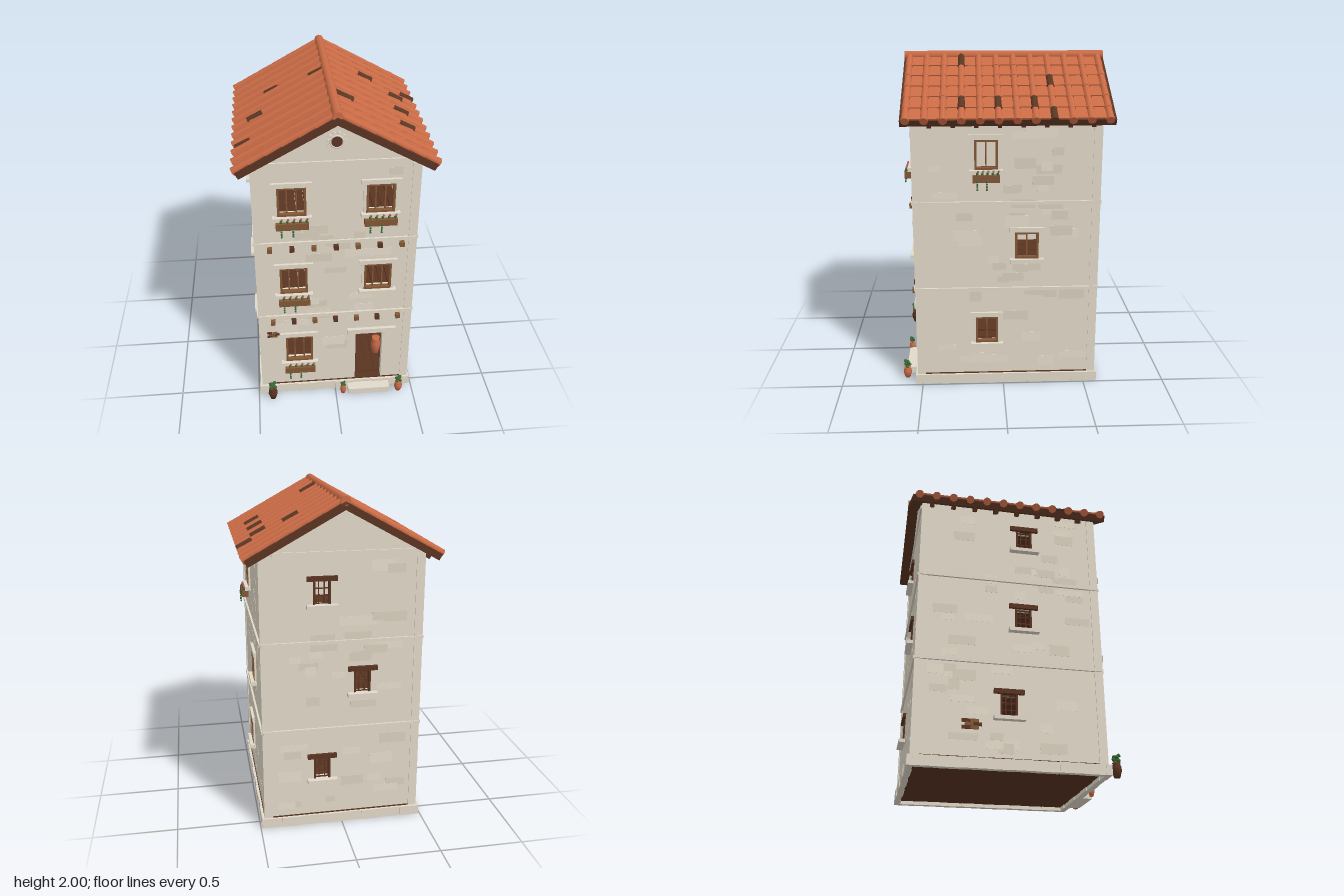
import * as THREE from 'three';

const mat = (name, color) => Object.assign(new THREE.MeshStandardMaterial({ color }), { name });
const M = {
  wall: mat('plaster', 0xe3dac9), patch: mat('greyStone', 0xdad0be), trim: mat('trimStone', 0xe1d9c9),
  light: mat('paleStone', 0xe8dfce), timber: mat('timber', 0x835836), dark: mat('darkWood', 0x5a3422),
  tile: mat('terracotta', 0xca6b46), burnt: mat('darkTile', 0x5a3724), leaf: mat('leaf', 0x3b6a35),
  bloom: mat('bloom', 0xb0586a),
};
const HX = 0.471, ZF = 0.526, ZB = -0.566, T = 0.045;

function add(parent, name, geo, m, x = 0, y = 0, z = 0) {
  const mesh = new THREE.Mesh(geo, m);
  mesh.name = name;
  mesh.position.set(x, y, z);
  parent.add(mesh);
  return mesh;
}
const box = (p, name, m, w, h, d, x, y, z) => add(p, name, new THREE.BoxGeometry(w, h, d), m, x, y, z);
function group(parent, name, x = 0, y = 0, z = 0) {
  const g = new THREE.Group();
  g.name = name;
  g.position.set(x, y, z);
  parent.add(g);
  return g;
}
let seed = 7;
const rnd = () => (seed = (seed * 16807) % 2147483647) / 2147483647;
const blob = new THREE.IcosahedronGeometry(1, 0);

// Planter with leaves, blooms and two trailing vines
function flowerBox(p, x, top, w) {
  const g = group(p, 'flowerBox', x, top, 0.034);
  box(g, 'planter', M.timber, w, 0.042, 0.042, 0, -0.021, 0);
  for (let i = 0; i < 10; i++) {
    const px = (i / 9 - 0.5) * (w - 0.024), dz = (i % 2 - 0.5) * 0.016;
    add(g, 'leaves', blob, M.leaf, px, 0.008, dz).scale.set(0.009, 0.011, 0.009);
    if (i % 2) add(g, 'bloom', blob, M.bloom, px + 0.005, 0.022, dz).scale.setScalar(0.007);
  }
  for (const vx of [-0.33, 0.02])
    for (let i = 0; i < 4; i++)
      add(g, 'vine', blob, M.leaf, vx * w, -0.034 - i * 0.016, 0.022).scale.set(0.007, 0.008, 0.005);
}

// Stone-trimmed window; opening [x, y, w, h]
function largeWindow(p, [x, y, w, h, planter], bars) {
  const g = group(p, 'window', x, y);
  box(g, 'lintel', M.trim, w + 0.065, 0.028, 0.03, 0, h / 2 + 0.014, 0.002);
  box(g, 'sill', M.trim, w + 0.06, 0.024, 0.05, 0, -h / 2 - 0.012, 0.01);
  for (const s of [-1, 1]) {
    box(g, 'jamb', M.trim, 0.016, h, 0.02, s * (w / 2 + 0.008), 0, 0.001);
    box(g, 'frameSide', M.timber, 0.013, h, 0.03, s * (w / 2 - 0.0065), 0, -0.002);
    box(g, 'frameRail', M.timber, w, 0.012, 0.03, 0, s * (h / 2 - 0.006), -0.002);
  }
  for (let i = 1; i <= bars; i++)
    box(g, 'mullion', M.timber, 0.008, h, 0.016, (i / (bars + 1) - 0.5) * w, 0, -0.012);
  if (planter) flowerBox(p, x, y - h / 2 - 0.026, w + 0.022);
}

// Small barred window with a timber lintel
function smallWindow(p, [x, y, w, h]) {
  const g = group(p, 'smallWindow', x, y);
  box(g, 'lintel', M.dark, w + 0.075, 0.028, 0.035, 0, h / 2 + 0.014, 0);
  box(g, 'sill', M.trim, w + 0.08, 0.022, 0.06, 0, -h / 2 - 0.011, 0.006);
  for (const s of [-1, 1]) {
    box(g, 'frameSide', M.dark, 0.012, h, 0.03, s * (w / 2 - 0.006), 0, -0.01);
    box(g, 'barUpright', M.dark, 0.006, h, 0.008, s * w / 6, 0, -0.015);
  }
  for (let i = 0; i < 4; i++) box(g, 'barCross', M.dark, w, 0.006, 0.008, 0, (i / 3 - 0.5) * (h - 0.006), -0.015);
}

// Patch of exposed bricks
function bricks(p, x, y, size) {
  const g = group(p, 'exposedBricks', x, y);
  g.scale.set(size, size, 1);
  for (let r = 0; r < 3; r++)
    for (let c = 0; c < 2; c++)
      box(g, 'brick', (r + c) % 2 ? M.timber : M.dark, 0.031, 0.0125, 0.012, (c - 0.5) * 0.032 + (r % 2) * 0.012 - 0.006, (r - 1) * 0.013, 0.003);
}

// One outside wall: local z = 0 is the outer face; width runs from x0 to x1
function facade(root, name, pos, turn, outline, x0, x1, openings) {
  const g = group(root, name, ...pos);
  g.rotation.y = turn;
  const shape = new THREE.Shape(outline.map(([x, y]) => new THREE.Vector2(x, y)));
  for (const [x, y, w, h] of openings) {
    const a = x - w / 2, b = x + w / 2, c = y - h / 2, d = y + h / 2;
    shape.holes.push(new THREE.Path([[a, c], [a, d], [b, d], [b, c]].map(q => new THREE.Vector2(...q))));
  }
  add(g, 'wallPanel', new THREE.ExtrudeGeometry(shape, { depth: T, bevelEnabled: false }), M.wall, 0, 0, -T);
  for (const y of [0.625, 1.165]) box(g, 'stringCourse', M.trim, x1 - x0, 0.02, 0.024, (x0 + x1) / 2, y, 0);
  // Thin stones showing in the plaster
  for (let i = 0; i < 50; i++) {
    const w = 0.06 + rnd() * 0.11, h = 0.035 + rnd() * 0.035;
    const x = x0 + 0.13 + rnd() * (x1 - x0 - 0.26), y = 0.12 + rnd() * 1.5;
    const clear = openings.every(o => Math.abs(o[0] - x) > (o[2] + w) / 2 + 0.03 || Math.abs(o[1] - y) > (o[3] + h) / 2 + 0.03);
    if (clear) box(g, 'wallStone', i % 2 ? M.patch : M.light, w, h, 0.001, x, y, i * 0.00002);
  }
  return g;
}

// Potted plant from a turned profile
function pot(p, m, x, z, r, h, plant) {
  const g = group(p, 'pottedPlant', x, 0.008, z);
  const pts = [[0, 0], [0.6, 0], [1, 0.45], [0.95, 0.7], [0.7, 0.9], [0.85, 1], [0, 0.96]];
  add(g, 'pot', new THREE.LatheGeometry(pts.map(([a, b]) => new THREE.Vector2(a * r, b * h)), 12), m);
  if (plant) for (let i = 0; i < 7; i++)
    add(g, 'foliage', blob, M.leaf, Math.cos(i * 2.4) * r * 0.5, h + plant * (0.12 + i * 0.11), Math.sin(i * 2.4) * r * 0.5).scale.setScalar(r * 0.45);
}

// One roof slope, x running downhill from the ridge
function roofSide(root, s, darkRibs, darkPans) {
  const g = group(root, s > 0 ? 'roofLeft' : 'roofRight', 0, 1.97, 0);
  g.rotation.set(0, s > 0 ? 0 : Math.PI, -Math.atan(0.55));
  const L = 0.632, pitch = 0.1025;
  box(g, 'deck', M.dark, L, 0.04, 1.214, L / 2, -0.02, -0.025 * s);
  const rib = new THREE.CylinderGeometry(0.0185, 0.0245, 0.114, 10).rotateZ(Math.PI / 2 - 0.04);
  const pan = new THREE.BoxGeometry(0.112, 0.008, 0.088).rotateZ(0.06);
  for (let k = 0; k < 6; k++) {
    const u = 0.585 - k * pitch;
    for (let i = 0; i < 12; i++) {
      const z = -0.595 + i * 0.104;
      add(g, 'coverTile', rib, darkRibs.includes(i + ',' + k) ? M.burnt : M.tile, u, 0.005, z * s);
      if (i < 11) add(g, 'panTile', pan, darkPans.includes(i + ',' + k) ? M.burnt : M.tile, u - 0.012, 0.005, (z + 0.052) * s);
    }
  }
  for (let i = 0; i < 8; i++) box(g, 'rafterTail', M.dark, 0.09, 0.026, 0.024, 0.575, -0.05, (0.42 - i * 0.133) * s);
}

export function createModel() {
  const root = new THREE.Group();
  root.name = 'townHouse';

  // Walls with openings [x, y, width, height, planter]
  const gable = [[-HX, 0.05], [HX, 0.05], [HX, 1.68], [0, 1.93], [-HX, 1.68]];
  const frontWin = [[-0.252, 1.447, 0.165, 0.185, 1], [0.252, 1.447, 0.165, 0.185, 1],
    [-0.252, 0.9, 0.165, 0.185, 1], [0.252, 0.9, 0.165, 0.185, 0], [-0.228, 0.36, 0.17, 0.2, 1]];
  const door = [0.215, 0.2625, 0.17, 0.395];
  const front = facade(root, 'frontWall', [0, 0, ZF], 0, gable, -HX, HX, [...frontWin, door]);
  frontWin.forEach(w => largeWindow(front, w, 2));
  box(front, 'doorLintel', M.trim, 0.31, 0.033, 0.035, 0.228, 0.477, 0.004);
  box(front, 'doorStep', M.trim, 0.27, 0.042, 0.079, 0.215, 0.021, 0.042);
  bricks(front, -0.39, 0.482, 1);

  const backWin = [[-0.12, 1.46], [0.12, 0.915], [-0.12, 0.37]].map(([x, y]) => [x, y, 0.1, 0.135]);
  const back = facade(root, 'backWall', [0, 0, ZB], Math.PI, gable, -HX, HX, backWin);
  backWin.forEach(w => smallWindow(back, w));

  const side = (a, b) => [[a, 0.05], [b, 0.05], [b, 1.68], [a, 1.68]];
  const leftWin = [[-0.1, 1.455, 0.135, 0.175, 1], [0.14, 0.903, 0.14, 0.165, 0], [-0.1, 0.36, 0.135, 0.17, 0]];
  const left = facade(root, 'leftWall', [HX, 0, 0], Math.PI / 2, side(-ZF + T, -ZB - T), -ZF, -ZB, leftWin);
  leftWin.forEach(w => largeWindow(left, w, 1));
  const rightWin = [[0.07, 1.46], [0.06, 0.915], [-0.03, 0.37]].map(([x, y]) => [x, y, 0.1, 0.135]);
  const right = facade(root, 'rightWall', [-HX, 0, 0], -Math.PI / 2, side(ZB + T, ZF - T), ZB, ZF, rightWin);
  rightWin.forEach(w => smallWindow(right, w));
  bricks(right, -0.24, 0.25, 1.5);

  // Gable cornices, corner posts and front beam ends
  for (const f of [front, back]) box(f, 'cornice', M.trim, 0.8, 0.022, 0.02, 0, 1.682, 0);
  for (const x of [-1, 1])
    for (const z of [ZF - 0.02, ZB + 0.02]) box(root, 'cornerPost', M.wall, 0.05, 1.6, 0.05, x * (HX - 0.02), 0.86, z);
  for (const y of [0.589, 1.13])
    for (let i = -3; i <= 3; i++) box(front, 'beamEnd', i % 2 ? M.timber : M.dark, 0.028, 0.028, 0.048, i * 0.129, y, 0.004);

  // Round gable ornament
  const rose = group(front, 'gableRosette', 0, 1.81, 0);
  const disc = r => new THREE.CylinderGeometry(r, r, 0.02, 16).rotateX(Math.PI / 2);
  add(rose, 'centre', disc(0.033), M.dark, 0, 0, 0.003);
  add(rose, 'ring', new THREE.TorusGeometry(0.035, 0.005, 6, 24), M.trim, 0, 0, 0.012);
  for (let i = 0; i < 10; i++) {
    const a = i * Math.PI / 5;
    add(rose, 'petal', disc(0.013), M.trim, Math.cos(a) * 0.044, Math.sin(a) * 0.044, 0);
  }

  // Ground slab, plinth of blocks set alternately forward, and plank floors
  const zc = (ZF + ZB) / 2;
  box(root, 'groundSlab', M.dark, 0.95, 0.045, 1.1, 0, 0.0445, zc);
  for (let i = 0; i < 8; i++)
    for (const s of [-1, 1]) {
      const step = (i % 2) * 0.004;
      box(root, 'plinthBlock', M.trim, 0.1225, 0.06, 0.036, -0.4288 + i * 0.1225, 0.03, zc + s * (0.549 - step));
      box(root, 'plinthBlock', M.trim, 0.036, 0.06, 0.134, s * (0.473 - step), 0.03, zc - 0.469 + i * 0.134);
    }
  for (const y of [0.066, 0.62, 1.165])
    for (let i = 0; i < 16; i++)
      box(root, 'floorPlank', M.dark, 0.05, 0.012 + (i % 2) * 0.004, 1.0, -0.398 + i * 0.053, y, zc);

  // Furnishings seen through the openings
  const table = group(root, 'table', 0.09, 0.072, 0.1);
  box(table, 'tableTop', M.dark, 0.15, 0.012, 0.2, 0, 0.13, 0);
  for (const x of [-0.06, 0.06])
    for (const z of [-0.08, 0.08]) box(table, 'tableLeg', M.dark, 0.012, 0.13, 0.012, x, 0.065, z);
  pot(group(root, 'indoorJar', 0, 0.06, 0), M.tile, 0.3, 0.3, 0.032, 0.135, 0);
  box(root, 'shelf', M.dark, 0.07, 0.01, 0.08, -0.4, 0.34, 0.07);
  pot(group(root, 'shelfJar', 0, 0.337, 0), M.tile, -0.4, 0.06, 0.016, 0.035, 0);

  // Pots beside the entrance
  pot(root, M.dark, -0.41, 0.6, 0.029, 0.085, 0.055);
  pot(root, M.tile, 0.047, 0.595, 0.02, 0.062, 0.035);
  pot(root, M.tile, 0.408, 0.6, 0.026, 0.07, 0.05);

  // Tiled roof and ridge
  roofSide(root, 1, ['3,3', '3,0', '4,1', '6,1', '8,5', '8,1'], []);
  roofSide(root, -1, ['6,1'], ['3,2', '4,5', '8,0']);
  add(root, 'ridgeTile', new THREE.CylinderGeometry(0.028, 0.028, 1.214, 12).rotateX(Math.PI / 2), M.tile, 0, 1.972, -0.025);
  return root;
}
